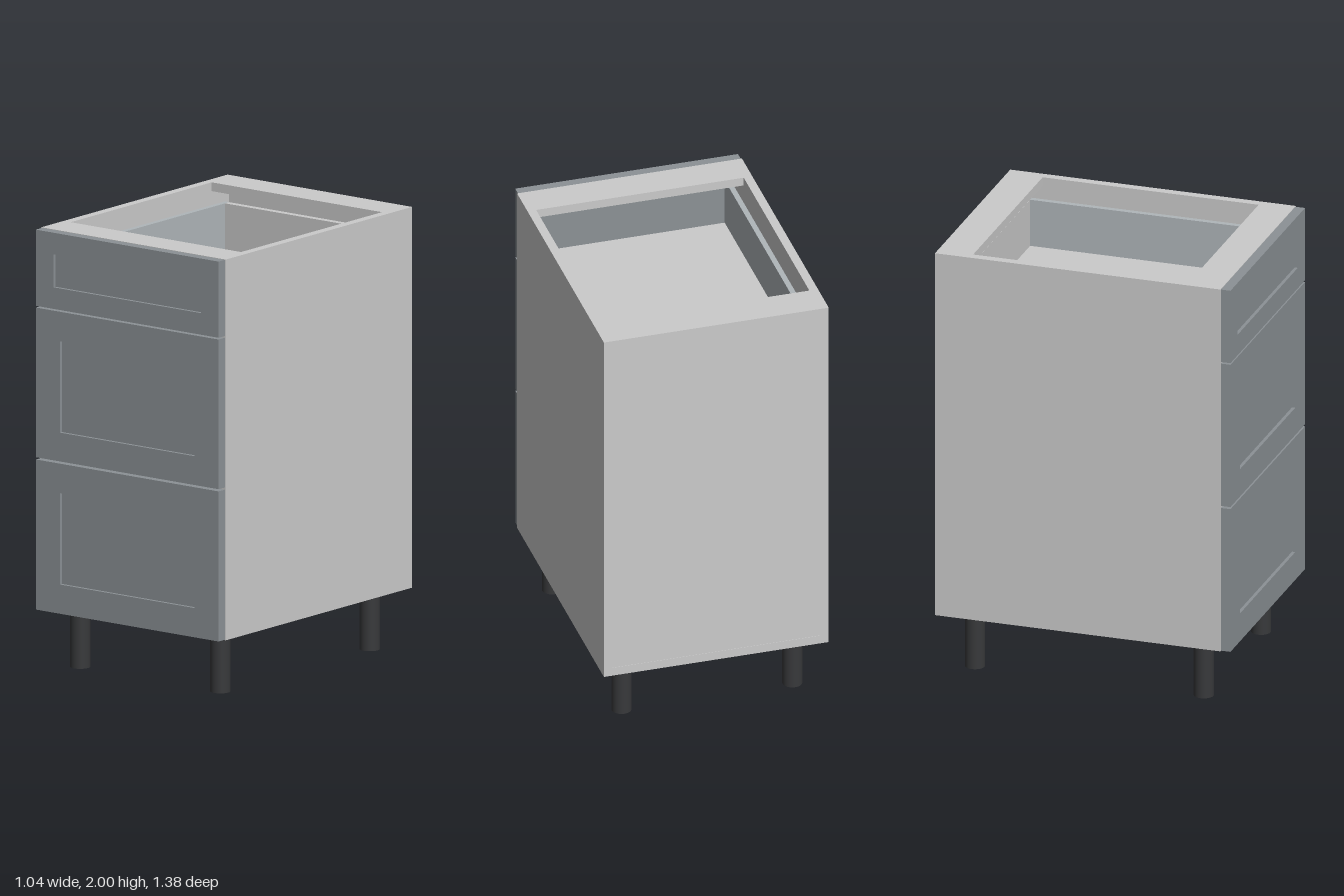
import * as THREE from 'three';

const grey = new THREE.MeshStandardMaterial({ color: 0xcccccc });
const slate = new THREE.MeshStandardMaterial({ color: 0x8c9296 });
const metal = new THREE.MeshStandardMaterial({ color: 0xb0b6ba });
const black = new THREE.MeshStandardMaterial({ color: 0x38393b });

// Box given by its lower and upper limits on each axis
function box(name, [x0, x1], [y0, y1], [z0, z1], material) {
  const mesh = new THREE.Mesh(new THREE.BoxGeometry(x1 - x0, y1 - y0, z1 - z0), material);
  mesh.position.set((x0 + x1) / 2, (y0 + y1) / 2, (z0 + z1) / 2);
  mesh.name = name;
  return mesh;
}

function rectangle(target, w, y0, y1) {
  target.moveTo(-w, y0);
  target.lineTo(w, y0);
  target.lineTo(w, y1);
  target.lineTo(-w, y1);
  target.closePath();
  return target;
}

// Drawer front: flat frame around a slightly recessed panel
function drawerFront(y0, y1, w, p0, p1) {
  const group = new THREE.Group();
  group.name = 'drawerFront';
  const shape = rectangle(new THREE.Shape(), 0.515, y0, y1);
  shape.holes.push(rectangle(new THREE.Path(), w, p0, p1));
  const frame = new THREE.Mesh(
    new THREE.ExtrudeGeometry(shape, { depth: 0.045, bevelEnabled: false }), slate);
  frame.position.z = 0.645;
  frame.name = 'frontFrame';
  group.add(frame, box('frontPanel', [-w, w], [p0, p1], [0.645, 0.675], slate));
  return group;
}

// Drawer box behind a front: bottom, back and two thin metal sides
function drawerBox(y, height) {
  const group = new THREE.Group();
  group.name = 'drawerBox';
  group.add(
    box('drawerBottom', [-0.44, 0.44], [y, y + 0.03], [-0.6, 0.645], grey),
    box('drawerBack', [-0.44, 0.44], [y + 0.03, y + height], [-0.6, -0.57], grey));
  for (const s of [-1, 1]) {
    const side = box('drawerSide', [-0.0125, 0.0125], [y, y + height], [-0.6, 0.645], metal);
    side.position.x = s * 0.4525;
    group.add(side);
  }
  return group;
}

export function createModel() {
  const model = new THREE.Group();
  model.name = 'drawerCabinet';

  // Carcass
  const inner = [-0.48, 0.48];
  model.add(
    box('rightSide', [-0.52, -0.48], [0.27, 2], [-0.69, 0.645], grey),
    box('leftSide', [0.48, 0.52], [0.27, 2], [-0.69, 0.645], grey),
    box('cabinetBottom', inner, [0.27, 0.31], [-0.69, 0.645], grey),
    box('cabinetBack', inner, [0.31, 1.96], [-0.688, -0.65], grey),
    box('backRail', inner, [1.96, 2], [-0.69, -0.525], grey),
    box('frontRail', inner, [1.96, 2], [0.485, 0.645], grey));

  // Drawers: front bottom, front top, panel half width, panel bottom, panel top, box height
  const drawers = [
    [1.652, 1.998, 0.415, 1.75, 1.9, 0.25],
    [0.964, 1.644, 0.38, 1.095, 1.51, 0.4],
    [0.272, 0.954, 0.38, 0.405, 0.82, 0.4],
  ];
  for (const [y0, y1, w, p0, p1, h] of drawers) {
    model.add(drawerFront(y0, y1, w, p0, p1), drawerBox(Math.max(y0, 0.32), h));
  }

  // Legs
  for (const x of [-0.395, 0.395]) {
    for (const z of [0.525, -0.545]) {
      const leg = new THREE.Mesh(new THREE.CylinderGeometry(0.045, 0.045, 0.27, 32), black);
      leg.position.set(x, 0.135, z);
      leg.name = 'leg';
      model.add(leg);
    }
  }
  return model;
}
